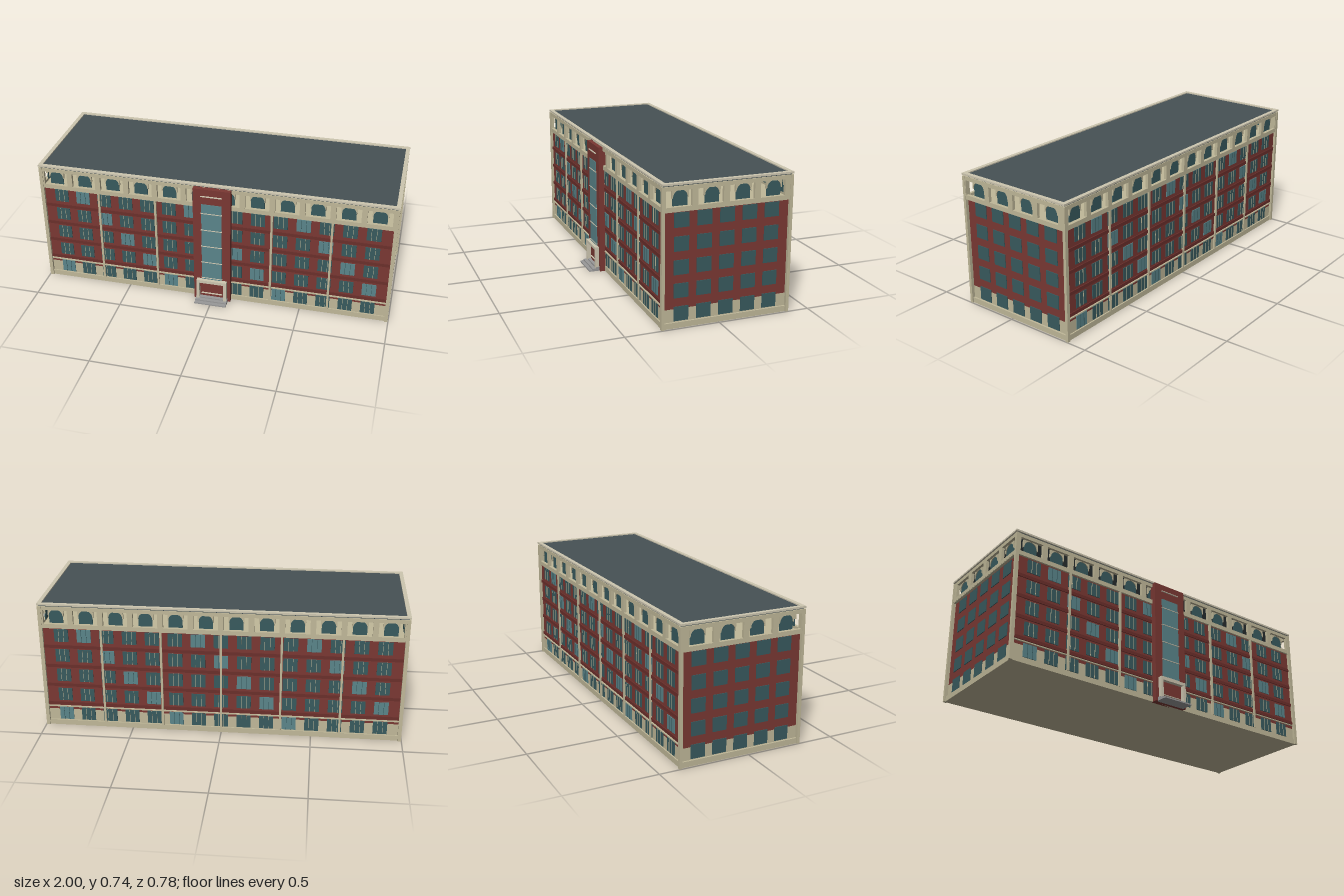
import * as THREE from 'three';

const mat = (color) => new THREE.MeshStandardMaterial({ color });
const brick = mat(0x7a3833), darkBrick = mat(0x6b2f2b), stone = mat(0xc0b899), trim = mat(0xcdc6b0);
const glass = mat(0x385a5e), litGlass = mat(0x5a858a), slate = mat(0x465154), concrete = mat(0x999999);

function add(parent, name, geometry, material) {
  const m = new THREE.Mesh(geometry, material);
  m.name = name;
  parent.add(m);
  return m;
}

// Box given by its min and max on each axis
function box(parent, name, material, x0, x1, y0, y1, z0, z1) {
  const m = add(parent, name, new THREE.BoxGeometry(x1 - x0, y1 - y0, z1 - z0), material);
  m.position.set((x0 + x1) / 2, (y0 + y1) / 2, (z0 + z1) / 2);
  return m;
}

function rect(path, x0, x1, y0, y1) {
  path.moveTo(x0, y0);
  path.lineTo(x1, y0);
  path.lineTo(x1, y1);
  path.lineTo(x0, y1);
  path.closePath();
  return path;
}

function extrude(parent, name, material, shape, z0, depth) {
  const g = new THREE.ExtrudeGeometry(shape, { depth, bevelEnabled: false, curveSegments: 16 });
  add(parent, name, g, material).position.z = z0;
}

// Open top storey: a pierced stone wall with arched windows standing behind it
function arcade(parent, half, outer, bays, pitch, offset) {
  const wall = rect(new THREE.Shape(), -half, half, 0.6, 0.724);
  for (let i = 0; i < bays; i++) {
    const x = (i - (bays - 1) / 2) * pitch, c = x + offset;
    wall.holes.push(rect(new THREE.Path(), c - 0.067, c + 0.067, 0.622, 0.703));

    const pane = new THREE.Shape();
    pane.moveTo(x - 0.038, 0.622);
    pane.lineTo(x + 0.038, 0.622);
    pane.lineTo(x + 0.038, 0.664);
    pane.absarc(x, 0.664, 0.038, 0, Math.PI, false);
    pane.closePath();
    extrude(parent, 'archedWindow', glass, pane, outer - 0.024, 0.005);

    const spandrel = new THREE.Shape();
    spandrel.moveTo(x + 0.043, 0.66);
    spandrel.lineTo(x + 0.043, 0.704);
    spandrel.lineTo(x - 0.043, 0.704);
    spandrel.lineTo(x - 0.043, 0.66);
    spandrel.lineTo(x - 0.038, 0.664);
    spandrel.absarc(x, 0.664, 0.038, Math.PI, 0, true);
    spandrel.closePath();
    extrude(parent, 'archSurround', stone, spandrel, outer - 0.026, 0.012);
  }
  extrude(parent, 'arcadeWall', stone, wall, outer - 0.017, 0.017);
}

// Rows of windows over five floors
function windows(parent, count, pitch, z, long) {
  for (let f = 0; f < 5; f++) {
    const y = 0.035 + f * 0.12;
    for (let i = 0; i < count; i++) {
      const x = (i - (count - 1) / 2) * pitch;
      const lit = long && (i + f) % 5 === 0;
      box(parent, 'window', lit ? litGlass : glass, x - 0.039, x + 0.039, y, y + 0.075, z - 0.004, z + 0.004);
      if (!long) continue;
      for (const s of [-1, 1]) {
        const m = x + s * 0.014;
        box(parent, 'mullion', lit ? glass : stone, m - 0.001, m + 0.001, y, y + 0.075, z, z + 0.006);
      }
    }
  }
}

function longFacade() {
  const g = new THREE.Group(), wall = 0.335;
  windows(g, 15, 0.1255, wall, true);
  for (let f = 0; f < 4; f++) {
    const y = 0.135 + f * 0.117;
    box(g, 'brickCourse', darkBrick, -0.98, 0.98, y - 0.009, y + 0.009, wall - 0.002, wall + 0.005);
  }
  box(g, 'stringCourse', stone, -0.98, 0.98, 0.115, 0.121, wall - 0.002, wall + 0.008);
  for (let i = -2; i <= 2; i++)
    box(g, 'pilaster', stone, i * 0.328 - 0.006, i * 0.328 + 0.006, 0.03, 0.6, wall - 0.002, wall + 0.011);
  arcade(g, 0.985, 0.346, 12, 0.164, 0);
  return g;
}

function endFacade(offset) {
  const g = new THREE.Group(), wall = 0.98;
  windows(g, 5, 0.1205, wall, false);
  arcade(g, 0.333, 0.996, 4, 0.166, offset);
  return g;
}

// Projecting entrance tower with glazed stair strip, portal and steps
function entrance() {
  const g = new THREE.Group();
  g.name = 'entranceTower';
  box(g, 'towerWall', brick, -0.105, 0.105, 0, 0.724, 0.29, 0.33);
  box(g, 'stairGlazing', litGlass, -0.057, 0.057, 0.135, 0.632, 0.325, 0.334);
  for (let i = 0; i < 7; i++) {
    const y = 0.043 + i * 0.1065;
    box(g, 'glazingBar', trim, -0.06, 0.06, y - 0.002, y + 0.002, 0.328, 0.337);
  }
  const portal = rect(new THREE.Shape(), -0.086, 0.086, 0.005, 0.14);
  portal.holes.push(rect(new THREE.Path(), -0.07, 0.07, 0.012, 0.122));
  extrude(g, 'portalFrame', trim, portal, 0.325, 0.028);
  for (let i = 0; i < 3; i++)
    box(g, 'step', concrete, -0.091, 0.091, i * 0.0075, (i + 1) * 0.0075, 0.32, 0.39 - i * 0.02);
  return g;
}

export function createModel() {
  const model = new THREE.Group();
  const building = new THREE.Group();
  building.name = 'building';
  building.position.z = -0.04;
  model.add(building, entrance());

  // Main body
  box(building, 'plinth', stone, -0.99, 0.99, 0, 0.03, -0.342, 0.342);
  box(building, 'stoneBase', stone, -0.98, 0.98, 0.03, 0.098, -0.335, 0.335);
  box(building, 'brickWalls', brick, -0.98, 0.98, 0.098, 0.597, -0.335, 0.335);
  box(building, 'cornice', stone, -0.995, 0.995, 0.597, 0.607, -0.346, 0.346);

  // Corner posts
  for (const sx of [-1, 1]) for (const sz of [-1, 1]) {
    const p = box(building, 'cornerPost', stone, -0.01, 0.01, 0, 0.724, -0.008, 0.008);
    p.position.x = sx * 0.988;
    p.position.z = sz * 0.341;
  }

  // Facades
  [[longFacade(), 0, 'frontFacade'], [longFacade(), Math.PI, 'backFacade'],
    [endFacade(-0.012), Math.PI / 2, 'leftFacade'], [endFacade(0.012), -Math.PI / 2, 'rightFacade']]
    .forEach(([g, turn, name]) => {
      g.name = name;
      g.rotation.y = turn;
      building.add(g);
    });

  // Flat roof with a raised rim
  box(building, 'roofDeck', slate, -0.99, 0.99, 0.724, 0.734, -0.342, 0.342);
  for (const s of [-1, 1]) {
    const a = box(building, 'roofRim', trim, -1, 1, 0.73, 0.74, -0.011, 0.011);
    a.position.z = s * 0.338;
    const b = box(building, 'roofRim', trim, -0.011, 0.011, 0.73, 0.74, -0.327, 0.327);
    b.position.x = s * 0.989;
  }
  return model;
}
